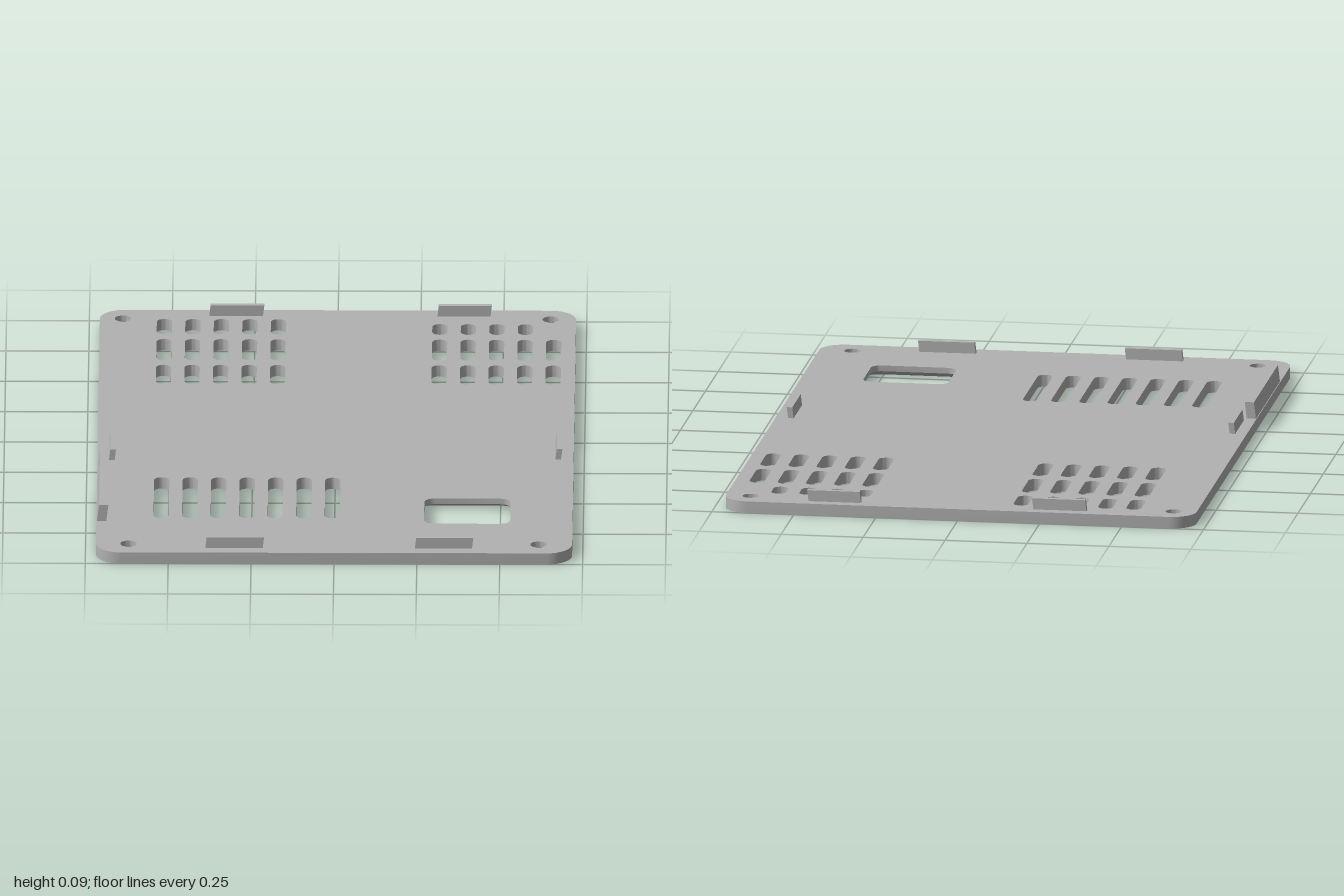
import * as THREE from 'three';
import { mergeGeometries, toCreasedNormals } from 'three/addons/utils/BufferGeometryUtils.js';

const TOP = 0.036; // plate thickness
const STEP = 0.018; // height where countersinks begin

// Rounded rectangle on the ground plane, counter-clockwise from above (x, -z)
function loop(x0, x1, z0, z1, r, seg = 6) {
  const pts = [];
  const corners = [[x1 - r, -z0 - r], [x0 + r, -z0 - r], [x0 + r, -z1 + r], [x1 - r, -z1 + r]];
  corners.forEach(([cx, cy], k) => {
    for (let i = 0; i <= seg; i++) {
      const a = (k + i / seg) * Math.PI / 2;
      pts.push(new THREE.Vector2(cx + r * Math.cos(a), cy + r * Math.sin(a)));
    }
  });
  return pts.filter((p, i) => p.distanceTo(pts[(i + 1) % pts.length]) > 1e-5);
}

// Wall between two matching loops; holes face inward
function wall(low, yLow, high, yHigh, inward) {
  const pos = [];
  const n = low.length;
  for (let i = 0; i < n; i++) {
    const j = (i + 1) % n;
    const a = [low[i].x, yLow, -low[i].y];
    const b = [low[j].x, yLow, -low[j].y];
    const c = [high[j].x, yHigh, -high[j].y];
    const d = [high[i].x, yHigh, -high[i].y];
    const quad = inward ? [a, c, b, a, d, c] : [a, b, c, a, c, d];
    pos.push(...quad.flat());
  }
  const g = new THREE.BufferGeometry();
  g.setAttribute('position', new THREE.Float32BufferAttribute(pos, 3));
  return toCreasedNormals(g, 0.7);
}

// Flat skin with openings, facing up or down
function skin(outline, holes, y, down) {
  const shape = new THREE.Shape(outline);
  shape.holes = holes.map((h) => new THREE.Path(h));
  const g = new THREE.ShapeGeometry(shape).rotateX(-Math.PI / 2).translate(0, y, 0);
  if (down) g.index.array.reverse();
  g.computeVertexNormals();
  const flat = g.toNonIndexed();
  flat.deleteAttribute('uv');
  return flat;
}

export function createModel() {
  const model = new THREE.Group();
  const grey = new THREE.MeshStandardMaterial({ color: 0xb2b2b2 });
  grey.name = 'grey plastic';

  // Openings: straight ones, and ones that flare toward the underside
  const openings = [];
  const slotRow = (x, count, z0, z1) => {
    for (let i = 0; i < count; i++) {
      const cx = x + i * 0.086;
      const l = loop(cx - 0.023, cx + 0.023, z0, z1, 0.023);
      openings.push({ top: l, bottom: l });
    }
  };
  // Vent slots
  slotRow(-0.523, 5, -0.925, -0.8);
  slotRow(-0.523, 5, -0.76, -0.587);
  slotRow(-0.523, 5, -0.548, -0.39);
  slotRow(0.308, 4, -0.888, -0.8);
  slotRow(0.308, 5, -0.76, -0.587);
  slotRow(0.308, 5, -0.548, -0.39);
  slotRow(-0.523, 7, 0.38, 0.715);

  const flared = (x0, x1, z0, z1, r, grow) => openings.push({
    top: loop(x0, x1, z0, z1, r),
    bottom: loop(x0 - grow, x1 + grow, z0 - grow, z1 + grow, r + grow),
  });
  // Countersunk screw holes
  for (const [x, z] of [[-0.648, -0.928], [0.642, -0.928], [-0.62, 0.927], [0.617, 0.927]]) {
    flared(x - 0.025, x + 0.025, z - 0.025, z + 0.025, 0.025, 0.025);
  }
  // Bevelled window
  flared(0.27, 0.53, 0.55, 0.757, 0.03, 0.035);

  // Base plate
  const outline = loop(-0.718, 0.718, -1, 1, 0.075, 10);
  const parts = [
    skin(outline, openings.map((o) => o.top), TOP, false),
    skin(outline, openings.map((o) => o.bottom), 0, true),
    wall(outline, 0, outline, TOP, false),
  ];
  for (const { top, bottom } of openings) {
    if (top === bottom) {
      parts.push(wall(top, 0, top, TOP, true));
    } else {
      parts.push(wall(bottom, 0, top, STEP, true), wall(top, STEP, top, TOP, true));
    }
  }
  const plate = new THREE.Mesh(mergeGeometries(parts), grey);
  plate.name = 'ventedPlate';
  model.add(plate);

  // Upright clips, leaning slightly toward +x
  const clip = (name, x0, x1, z0, z1, yTop) => {
    const h = yTop - TOP;
    const g = new THREE.BoxGeometry(x1 - x0, h, z1 - z0);
    g.translate((x0 + x1) / 2, TOP + h / 2, (z0 + z1) / 2);
    const p = g.attributes.position;
    for (let i = 0; i < p.count; i++) p.setX(i, p.getX(i) + 0.12 * (p.getY(i) - TOP));
    g.computeVertexNormals();
    const mesh = new THREE.Mesh(g, grey);
    mesh.name = name;
    model.add(mesh);
  };
  clip('backRightClip', -0.388, -0.226, -0.967, -0.95, 0.07);
  clip('backLeftClip', 0.3, 0.46, -0.967, -0.95, 0.07);
  clip('frontRightClip', -0.388, -0.215, 0.945, 0.962, 0.07);
  clip('frontLeftClip', 0.244, 0.416, 0.945, 0.962, 0.07);
  clip('rightSideClip', -0.683, -0.666, 0.066, 0.238, 0.07);
  clip('leftSideClip', 0.663, 0.68, 0.057, 0.226, 0.07);
  clip('rightSideWall', -0.716, -0.688, 0.263, 0.74, 0.087);

  return model;
}
